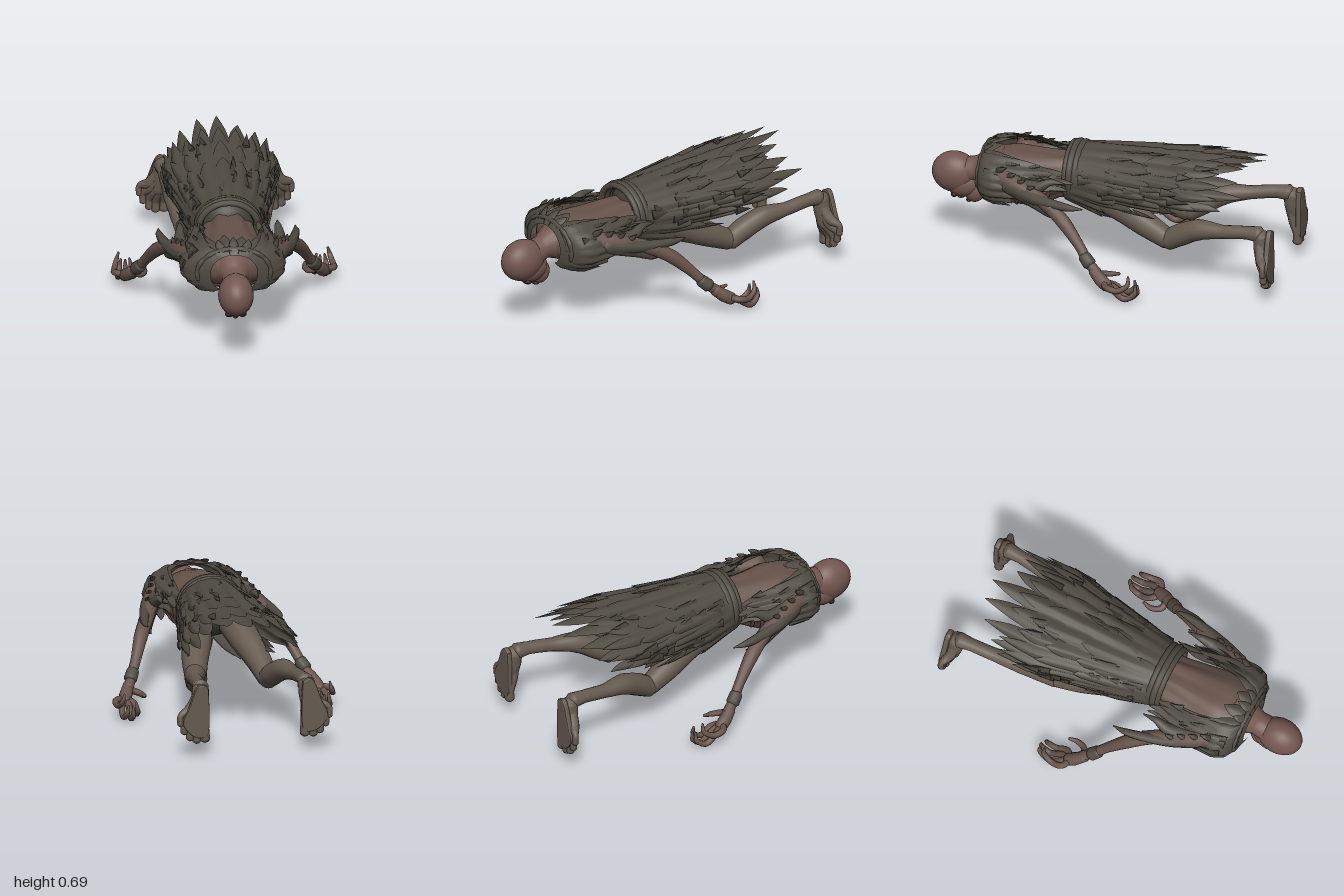
import * as THREE from 'three';
import { mergeGeometries } from 'three/addons/utils/BufferGeometryUtils.js';

const CLOTH = 0x4f4a41, DARK = 0x413c35, SKIN = 0x66524a, HEAD = 0x735650, LEG = 0x655a4f, HOLLOW = 0x241b19;

let seed = 7;
const rand = () => (seed = (seed * 16807) % 2147483647) / 2147483647;

// Interpolates rows of [key, ...values] with ascending keys
function at(rows, t) {
  let i = 0;
  while (i < rows.length - 2 && t > rows[i + 1][0]) i++;
  const k = THREE.MathUtils.clamp((t - rows[i][0]) / (rows[i + 1][0] - rows[i][0]), 0, 1);
  return rows[i].slice(1).map((v, n) => v + (rows[i + 1][n + 1] - v) * k);
}

function gridGeometry(pos, rows, cols, wrap) {
  const idx = [];
  for (let i = 0; i < rows - 1; i++) for (let j = 0; j < (wrap ? cols : cols - 1); j++) {
    const a = i * cols + j, b = i * cols + (j + 1) % cols;
    idx.push(a, b, a + cols, b, b + cols, a + cols);
  }
  const g = new THREE.BufferGeometry();
  g.setAttribute('position', new THREE.Float32BufferAttribute(pos, 3));
  g.setIndex(idx);
  g.computeVertexNormals();
  return g;
}

function add(parent, name, geo, color, side = THREE.FrontSide) {
  const m = new THREE.Mesh(geo, new THREE.MeshStandardMaterial({ color, side }));
  m.name = name;
  parent.add(m);
  return m;
}

// Rounded limb through points [x, y, z, radius]
function limb(pts, seg = 12) {
  const curve = new THREE.CatmullRomCurve3(pts.map(p => new THREE.Vector3(p[0], p[1], p[2])));
  const radii = pts.map((p, i) => [i, p[3]]);
  const n = (pts.length - 1) * 5, pos = [];
  const N = new THREE.Vector3(0.3, 1, 0.2), B = new THREE.Vector3();
  for (let i = -2; i <= n + 2; i++) {
    const t = THREE.MathUtils.clamp(i / n, 0, 1), over = i < 0 ? i : Math.max(0, i - n);
    const T = curve.getTangent(t), c = curve.getPoint(t);
    const r0 = at(radii, t * (pts.length - 1))[0];
    c.addScaledVector(T, over * r0 * 0.35);
    const r = r0 * [1, 0.72, 0][Math.abs(over)];
    N.addScaledVector(T, -N.dot(T)).normalize();
    B.crossVectors(T, N);
    for (let j = 0; j < seg; j++) {
      const a = j / seg * Math.PI * 2, u = Math.cos(a) * r, v = Math.sin(a) * r;
      pos.push(c.x + N.x * u + B.x * v, c.y + N.y * u + B.y * v, c.z + N.z * u + B.z * v);
    }
  }
  return gridGeometry(pos, n + 5, seg, true);
}

// Point on a body section; rows are [z, halfWidth, heightAbove, heightBelow, centreY].
// Angle 0 is the back; below the middle the sides hang steeply.
function surface(prof, phi, z, grow = 0) {
  const [w, up, down, cy] = at(prof, z), c = Math.cos(phi), s = Math.sin(phi);
  const x = c > 0 ? s : Math.sign(s) * Math.pow(Math.abs(s), 0.6);
  return [(w + grow) * x, cy + ((c > 0 ? up : down) + grow) * c, z];
}

// Draped cloth running backwards from z0 to a torn edge
function sheet(prof, z0, ends, half, teeth, depth, grow = 0) {
  const per = 8, cols = teeth * per + 1, rows = 20, pos = [];
  const tips = Array.from({ length: teeth + 1 }, () => 0.65 + 0.6 * rand());
  for (let i = 0; i < rows; i++) for (let j = 0; j < cols; j++) {
    const phi = (j / (cols - 1) * 2 - 1) * half, k = j / per, f = Math.abs((k % 1) * 2 - 1);
    const end = at(ends, Math.abs(phi))[0] + depth * (1 - Math.pow(1 - f, 0.65) * tips[Math.floor(k)]);
    const v = i / (rows - 1), z = z0 + (end - z0) * v;
    pos.push(...surface(prof, phi, z, grow + (0.5 - f) * 0.02 * v));
  }
  return gridGeometry(pos, rows, cols, false);
}

// Loose torn scraps lying on a cloth surface
function scraps(prof, count, zMin, zMax, phiMax, ends) {
  const list = [];
  while (list.length < count) {
    const phi = (rand() * 2 - 1) * phiMax, z = zMin + rand() * (zMax - zMin), len = 0.08 + rand() * 0.08;
    if (z - len < at(ends, Math.abs(phi))[0]) continue;
    const g = new THREE.ConeGeometry(0.026, len, 7);
    g.scale(1, 1, 0.35);
    g.rotateX(-Math.PI / 2 + 0.14);
    g.rotateZ(-phi);
    g.translate(...surface(prof, phi, z, 0.006));
    list.push(g);
  }
  return mergeGeometries(list);
}

export function createModel() {
  const root = new THREE.Group();
  root.name = 'crawlingFigure';
  const two = THREE.DoubleSide;
  const ball = (parent, name, [x, y, z], [sx, sy, sz], color) => {
    const g = new THREE.SphereGeometry(1, 28, 20);
    g.scale(sx, sy, sz);
    g.translate(x, y, z);
    return add(parent, name, g, color);
  };

  // Head, face turned to the ground
  const head = new THREE.Group();
  head.name = 'head';
  root.add(head);
  ball(head, 'cranium', [0, 0.405, 0.873], [0.096, 0.115, 0.127], HEAD);
  ball(head, 'face', [0, 0.35, 0.825], [0.078, 0.082, 0.105], HEAD);
  ball(head, 'jaw', [0, 0.312, 0.762], [0.056, 0.07, 0.06], HEAD);
  ball(head, 'mouth', [0, 0.252, 0.79], [0.03, 0.012, 0.018], HOLLOW);
  add(head, 'nose', limb([[0, 0.3, 0.88, 0.012], [0, 0.268, 0.84, 0.017], [0, 0.275, 0.82, 0.012]]), HEAD);
  for (const s of [1, -1]) ball(head, 'eyeSocket', [s * 0.036, 0.288, 0.865], [0.022, 0.016, 0.02], HOLLOW);
  add(root, 'neck', limb([[0, 0.42, 0.82, 0.072], [0, 0.445, 0.74, 0.066], [0, 0.46, 0.66, 0.108], [0, 0.46, 0.6, 0.12]], 20), HEAD);

  // Torso and ribs
  const body = [[0.1, 0.13, 0.1, 0.1, 0.47], [0.25, 0.14, 0.115, 0.1, 0.47], [0.38, 0.165, 0.125, 0.165, 0.46],
    [0.52, 0.19, 0.13, 0.16, 0.46], [0.65, 0.17, 0.11, 0.09, 0.46], [0.72, 0.06, 0.05, 0.04, 0.46]];
  add(root, 'torso', sheet(body, 0.72, [[0, 0.1], [3.2, 0.1]], Math.PI, 8, 0), SKIN, two);
  for (const s of [1, -1]) for (let i = 0; i < 6; i++) {
    const pts = [1.5, 1.9, 2.3, 2.7, 3.0].map((phi, k) => [...surface(body, s * phi, 0.29 + i * 0.055 + k * 0.013), 0.01]);
    add(root, 'rib', limb(pts, 8), SKIN);
  }
  ball(root, 'waistWrap', [0, 0.495, 0.12], [0.155, 0.145, 0.1], DARK);

  // Torn shawl round the shoulders, open over the back
  const shawl = [[0.05, 0.2, 0.1, 0.1, 0.46], [0.25, 0.215, 0.125, 0.11, 0.46], [0.45, 0.27, 0.145, 0.14, 0.46],
    [0.6, 0.275, 0.155, 0.15, 0.46], [0.66, 0.25, 0.15, 0.14, 0.46], [0.7, 0.18, 0.13, 0.125, 0.46], [0.72, 0.11, 0.1, 0.09, 0.46]];
  const shawlEnd = [[0, 0.57], [0.5, 0.55], [0.68, 0.24], [1.1, 0.16], [1.5, 0.18], [1.8, 0.34], [2.2, 0.48], [3.2, 0.58]];
  add(root, 'shawl', sheet(shawl, 0.715, shawlEnd, 2.7, 16, 0.08), CLOTH, two);
  add(root, 'shawlOverlay', sheet(shawl, 0.705, shawlEnd.map(([a, z]) => [a, z + 0.06]), 2.0, 13, 0.09, 0.01), CLOTH, two);
  add(root, 'shawlScraps', scraps(shawl, 20, 0.3, 0.6, 1.4, shawlEnd), DARK);
  const collar = [];
  for (let i = 0; i <= 16; i++) {
    const phi = (i / 8 - 1) * 1.9;
    collar.push([...surface(shawl, phi, 0.69), 0.011 + 0.004 * (i % 2)]);
  }
  add(root, 'collar', limb(collar, 8), CLOTH);

  // Layered skirt, long above and hanging in side flaps below
  const skirt = [[-0.95, 0.3, 0.215, 0.06, 0.475], [-0.5, 0.315, 0.205, 0.13, 0.475], [-0.3, 0.265, 0.19, 0.185, 0.48],
    [0, 0.21, 0.175, 0.185, 0.485], [0.22, 0.16, 0.16, 0.13, 0.49]];
  const skirtEnd = [[0, -0.9], [0.5, -0.8], [1, -0.8], [1.35, -0.76], [1.6, -0.66], [1.8, -0.48], [2, -0.34], [2.5, -0.3], [2.8, -0.2], [3.2, -0.12]];
  const layers = [[0, 0, 0.22, 17], [0.14, 0.012, 0.18, 21], [0.34, 0.018, 0.14, 19], [0.54, 0.022, 0.11, 17]];
  layers.forEach(([short, grow, depth, teeth], i) => {
    const ends = skirtEnd.map(([a, z]) => [a, z + short * (0.22 - z) / 1.1]);
    add(root, 'skirtLayer' + (i + 1), sheet(skirt, 0.21, ends, Math.PI, teeth, depth, grow - 0.012), CLOTH, two);
  });
  add(root, 'skirtScraps', scraps(skirt, 50, -0.6, 0.08, 1.9, skirtEnd), DARK);

  // Rolled belt at the waist
  for (const [z, r] of [[0.21, 0.018], [0.185, 0.024], [0.155, 0.022]]) {
    const g = new THREE.TorusGeometry(1, r / 0.16, 10, 48);
    g.scale(0.163, 0.152, 0.16);
    g.translate(0, 0.5, z);
    add(root, 'belt', g, CLOTH);
  }

  for (const s of [1, -1]) {
    const side = new THREE.Group();
    side.name = s > 0 ? 'leftLimbs' : 'rightLimbs';
    root.add(side);
    const part = (name, pts, color, seg) => add(side, name, limb(pts.map(([x, y, z, r]) => [s * x, y, z, r]), seg), color);

    // Arm reaching back and down
    part('upperArm', [[0.2, 0.5, 0.55, 0.065], [0.262, 0.48, 0.44, 0.05], [0.305, 0.45, 0.32, 0.038], [0.35, 0.41, 0.22, 0.04]], SKIN, 14);
    part('forearm', [[0.342, 0.42, 0.24, 0.038], [0.387, 0.36, 0.15, 0.038], [0.437, 0.26, 0.05, 0.028], [0.478, 0.18, -0.02, 0.027], [0.505, 0.14, -0.07, 0.03]], SKIN, 14);
    part('wristBand', [[0.461, 0.21, 0.012, 0.034], [0.483, 0.175, -0.025, 0.037]], CLOTH, 14);
    part('palm', [[0.5, 0.15, -0.05, 0.03], [0.525, 0.11, -0.1, 0.036], [0.54, 0.085, -0.14, 0.034]], SKIN);
    part('thumb', [[0.5, 0.13, -0.07, 0.02], [0.455, 0.115, -0.08, 0.018], [0.432, 0.11, -0.13, 0.015], [0.44, 0.12, -0.18, 0.008]], SKIN, 8);
    [[0.49, 0.03, 0], [0.525, 0.012, -0.02], [0.565, 0.02, -0.015], [0.59, 0.075, 0.02]].forEach(([x, y, dz]) => {
      part('finger', [[0.53, 0.1, -0.12, 0.02], [x, (y + 0.1) / 2 + 0.01, -0.17 + dz, 0.018], [x + 0.003, y + 0.012, -0.23 + dz, 0.017],
        [x * 0.8 + 0.106, y + 0.045, -0.283 + dz, 0.014], [x * 0.6 + 0.212, y + 0.09, -0.285 + dz, 0.006]], SKIN, 8);
    });

    // Torn sleeve hanging from the shoulder
    [[0.37, 0.44, 0.05], [0.33, 0.37, 0.15], [0.265, 0.53, 0.18]].forEach(([x, y, z]) => {
      part('sleeveStrip', [[0.24, 0.48, 0.5, 0.055], [(x + 0.275) / 2, (y + 0.46) / 2, 0.33, 0.034], [x, y, z + 0.08, 0.02], [x, y, z, 0.003]], CLOTH, 8);
    });
    for (let i = 0; i < 4; i++) {
      const x = 0.22 + i * 0.022, y = 0.555 - i * 0.02, z = 0.57 - i * 0.06;
      part('shoulderScrap', [[x, y - 0.02, z, 0.025], [x + 0.02, y + 0.005, z - 0.03, 0.015], [x + 0.025, y + 0.02, z - 0.055, 0.003]], DARK, 6);
    }

    // Bent leg, knee near the ground
    part('thigh', [[0.09, 0.45, 0.12, 0.085], [0.13, 0.39, -0.08, 0.085], [0.175, 0.31, -0.25, 0.07], [0.198, 0.245, -0.385, 0.056]], LEG, 16);
    part('shin', [[0.198, 0.24, -0.38, 0.056], [0.215, 0.29, -0.46, 0.062], [0.245, 0.345, -0.57, 0.058], [0.272, 0.362, -0.71, 0.038], [0.285, 0.38, -0.85, 0.036], [0.29, 0.38, -0.925, 0.045]], LEG, 16);

    // Foot hanging from the ankle, its flat sole facing back
    const outline = [[0.262, 0.4], [0.255, 0.3], [0.257, 0.15], [0.285, 0.115], [0.35, 0.13], [0.4, 0.2], [0.365, 0.29], [0.33, 0.385], [0.3, 0.415]];
    const sole = new THREE.Shape(new THREE.SplineCurve([...outline, outline[0]].map(([x, y]) => new THREE.Vector2(s * x, y))).getPoints(45));
    const slab = new THREE.ExtrudeGeometry(sole, { depth: 0.012, bevelEnabled: true, bevelThickness: 0.01, bevelSize: 0.006, bevelOffset: -0.006, bevelSegments: 2 });
    slab.translate(0, 0, -0.988);
    add(side, 'sole', slab, LEG);
    part('instep', [[0.292, 0.38, -0.937, 0.046], [0.298, 0.31, -0.942, 0.048], [0.312, 0.22, -0.953, 0.042]], LEG, 14);
    [[0.276, 0.1, 0.027], [0.322, 0.095, 0.024], [0.358, 0.11, 0.022], [0.39, 0.145, 0.02], [0.41, 0.19, 0.018]].forEach(([x, y, r]) => {
      part('toe', [[0.295, 0.36, -0.93, 0.03], [0.15 + x / 2, 0.17 + y / 2, -0.95, 0.032], [x, y + 0.05, -0.972, r * 0.9], [x, y, -0.973, r]], LEG, 10);
    });
  }
  return root;
}
